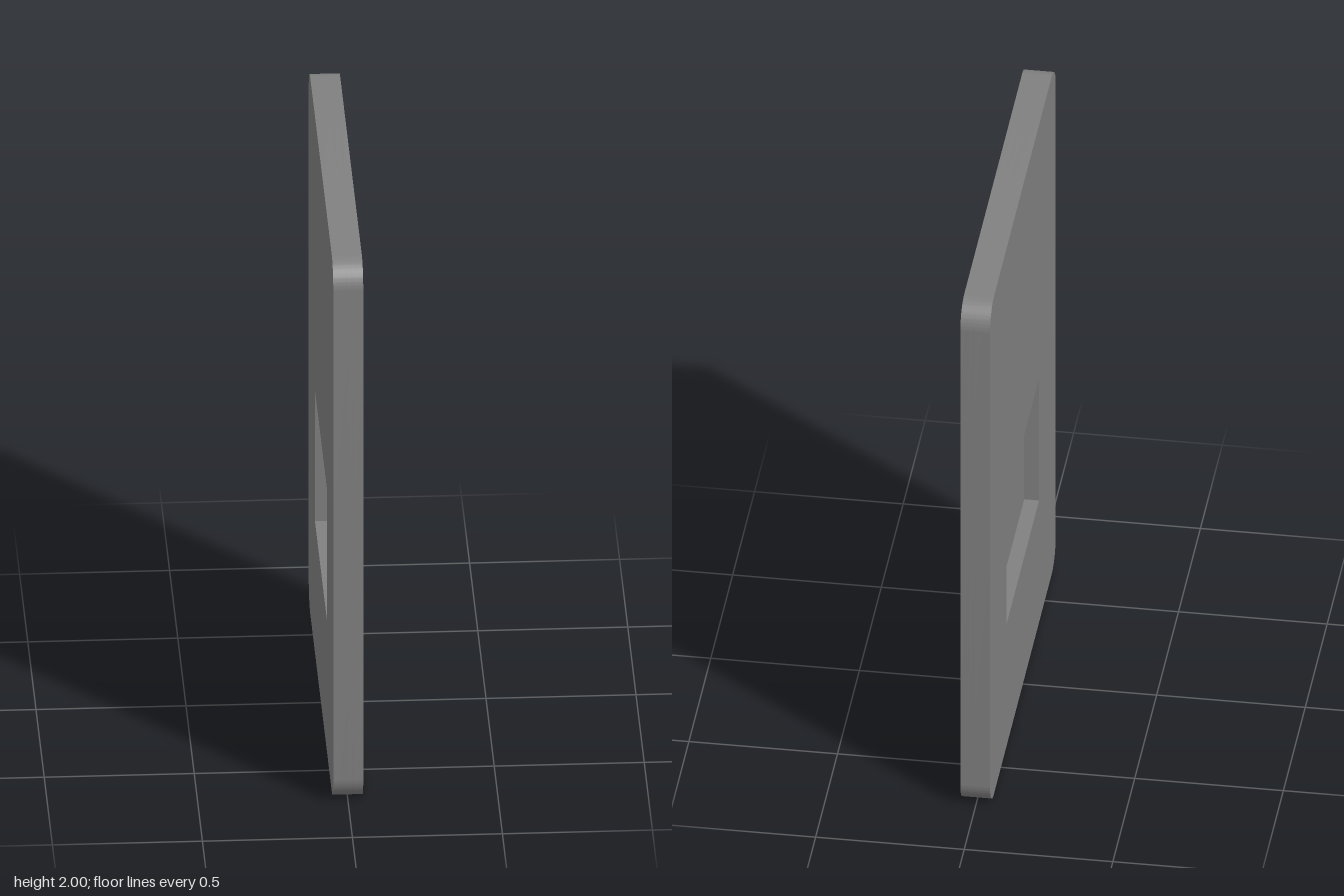
import * as THREE from 'three';
import { toCreasedNormals } from 'three/addons/utils/BufferGeometryUtils.js';

// Traces a rectangle with rounded corners, centred on (cx, cy)
function roundedRect(path, cx, cy, w, h, r) {
  const x0 = cx - w / 2, x1 = cx + w / 2, y0 = cy - h / 2, y1 = cy + h / 2;
  path.moveTo(x0 + r, y0);
  path.lineTo(x1 - r, y0);
  if (r) path.absarc(x1 - r, y0 + r, r, -Math.PI / 2, 0);
  path.lineTo(x1, y1 - r);
  if (r) path.absarc(x1 - r, y1 - r, r, 0, Math.PI / 2);
  path.lineTo(x0 + r, y1);
  if (r) path.absarc(x0 + r, y1 - r, r, Math.PI / 2, Math.PI);
  path.lineTo(x0, y0 + r);
  if (r) path.absarc(x0 + r, y0 + r, r, Math.PI, Math.PI * 1.5);
  return path;
}

export function createModel() {
  const model = new THREE.Group();
  model.name = 'panel';
  const grey = new THREE.MeshStandardMaterial({ color: 0x808080 });
  grey.name = 'grey';

  // One slab of the panel between two x positions, with cut-outs [z, y, width, height, radius]
  const addLayer = (name, from, to, cutouts) => {
    const shape = roundedRect(new THREE.Shape(), 0, 1, 1.5, 2, 0.09);
    for (const [z, y, w, h, r] of cutouts) {
      shape.holes.push(roundedRect(new THREE.Path(), -z, y, w, h, r));
    }
    const geometry = new THREE.ExtrudeGeometry(shape, {
      depth: to - from, bevelEnabled: false, curveSegments: 12,
    });
    geometry.rotateY(Math.PI / 2).translate(from, 0, 0);
    const mesh = new THREE.Mesh(toCreasedNormals(geometry, 0.6), grey);
    mesh.name = name;
    model.add(mesh);
  };

  // Left face: wide shallow slot and small latch recess
  addLayer('slottedFace', 0.02, 0.05, [
    [0, 1.56, 0.74, 0.15, 0.03],
    [-0.457, 0.74, 0.045, 0.08, 0.01],
  ]);
  // Solid core forming the floor of every recess
  addLayer('core', 0, 0.02, []);
  // Right face: square-cornered pocket
  addLayer('pocketFace', -0.05, 0, [[0, 0.735, 0.74, 0.49, 0]]);

  return model;
}
